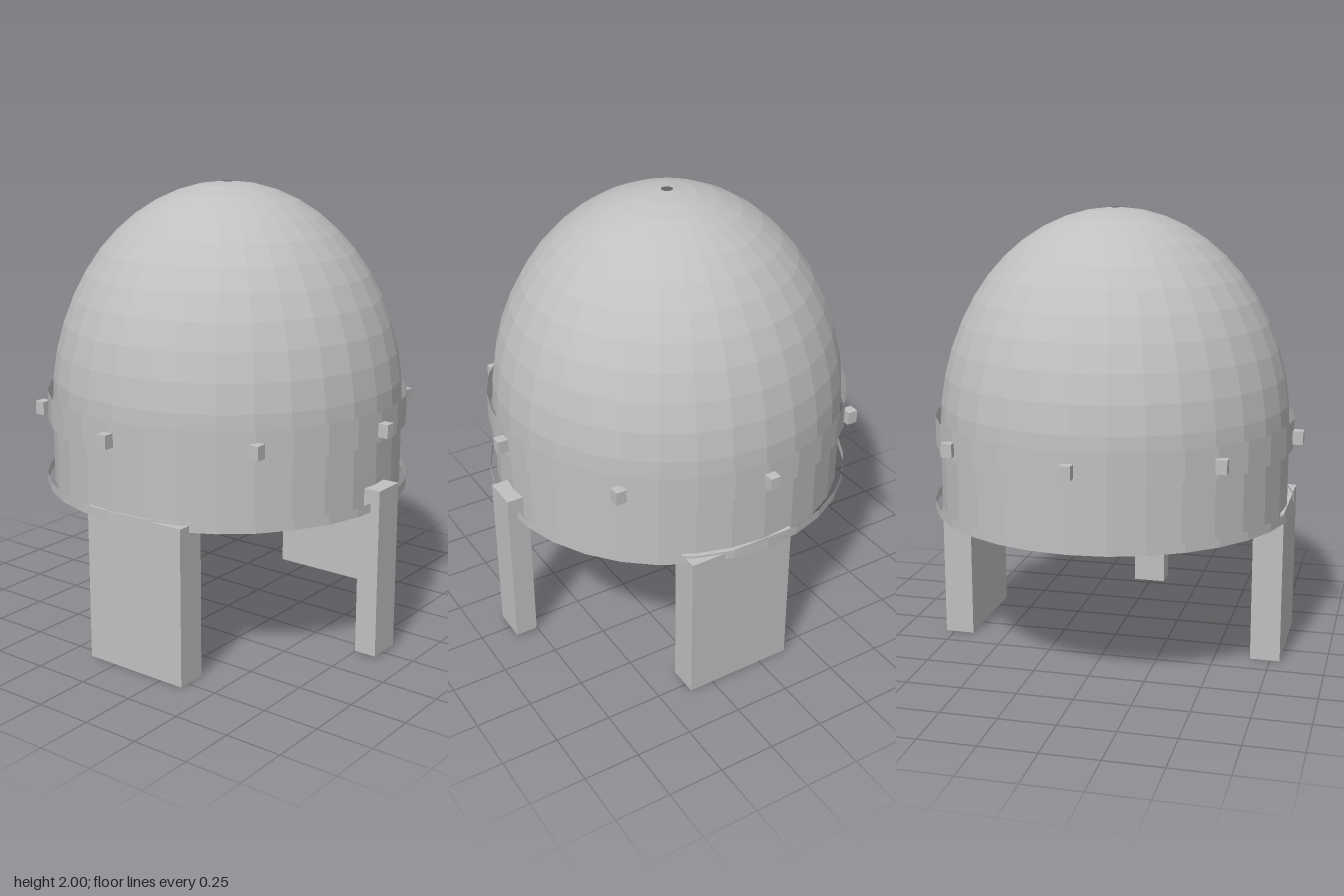
import * as THREE from 'three';

const SIDES = 32;
const RADIUS = 0.79;

export function createModel() {
  const model = new THREE.Group();
  model.name = 'helmet';

  const grey = new THREE.MeshStandardMaterial({
    color: 0xc0c0c0, flatShading: true, side: THREE.DoubleSide,
  });
  grey.name = 'plain grey';

  const add = (name, geometry, x = 0, y = 0, z = 0) => {
    const mesh = new THREE.Mesh(geometry, grey);
    mesh.name = name;
    mesh.position.set(x, y, z);
    model.add(mesh);
  };

  // Open, uncapped hoop between two heights
  const addHoop = (name, radius, bottom, top) => add(
    name,
    new THREE.CylinderGeometry(radius, radius, top - bottom, SIDES, 1, true),
    0, (bottom + top) / 2, 0,
  );

  // Box given by its limits
  const addBox = (name, [x0, x1], [y0, y1], [z0, z1]) => add(
    name,
    new THREE.BoxGeometry(x1 - x0, y1 - y0, z1 - z0),
    (x0 + x1) / 2, (y0 + y1) / 2, (z0 + z1) / 2,
  );

  // Tall half-ellipsoid shell with a tiny hole at the crown
  const domeBase = 1.02, rows = 12, holeAngle = 0.032;
  const profile = [];
  for (let i = 0; i <= rows; i++) {
    const a = Math.PI / 2 + (holeAngle - Math.PI / 2) * (i / rows);
    profile.push(new THREE.Vector2(RADIUS * Math.sin(a), domeBase + (2 - domeBase) * Math.cos(a)));
  }
  add('dome', new THREE.LatheGeometry(profile, SIDES));

  // Lower wall, the band over the seam, and the bottom rim
  addHoop('lowerWall', RADIUS, 0.66, 0.97);
  addHoop('band', 0.812, 0.95, 1.085);
  addHoop('rim', 0.822, 0.66, 0.7);

  // Eight axis-aligned studs around the band
  for (let i = 0; i < 8; i++) {
    const a = (i * Math.PI) / 4;
    add('stud', new THREE.BoxGeometry(0.048, 0.06, 0.048),
      0.832 * Math.sin(a), 1.007, 0.832 * Math.cos(a));
  }

  // Cheek plates on both sides and the nose guard in front
  addBox('leftCheekPlate', [0.66, 0.794], [0, 0.69], [-0.14, 0.36]);
  addBox('rightCheekPlate', [-0.794, -0.66], [0, 0.69], [-0.14, 0.36]);
  addBox('noseGuard', [-0.078, 0.078], [0.01, 0.76], [0.757, 0.857]);

  return model;
}
